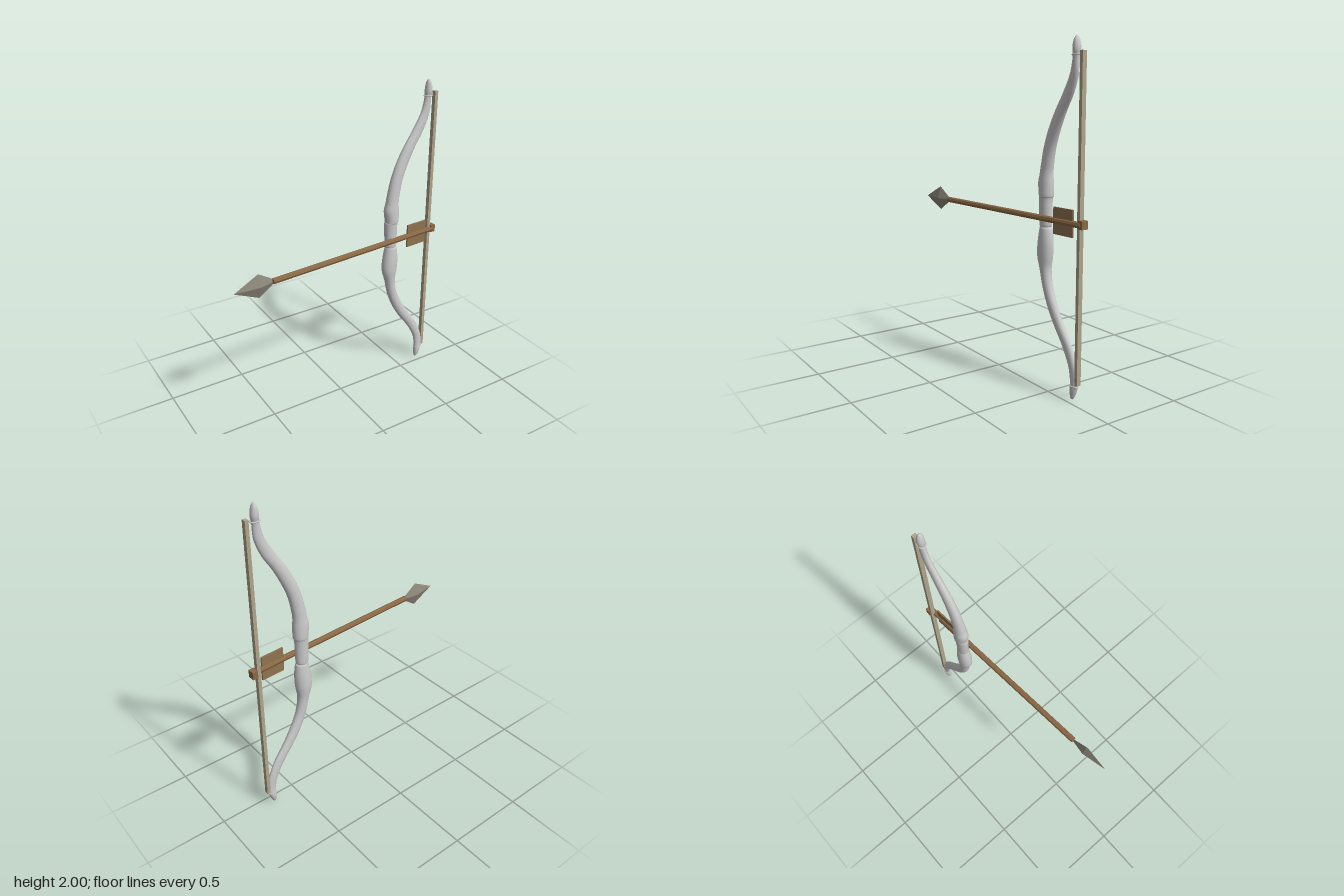
import * as THREE from 'three';

const mat = (color, flatShading = false) => new THREE.MeshStandardMaterial({ color, flatShading });

function add(parent, name, geometry, material, x = 0, y = 0, z = 0) {
  const mesh = new THREE.Mesh(geometry, material);
  mesh.name = name;
  mesh.position.set(x, y, z);
  parent.add(mesh);
  return mesh;
}

// Bow sections from bottom to top: height, left edge, right edge, half depth
const SECTIONS = [
  [0, 0.658, 0.662, 0.002], [0.012, 0.65, 0.674, 0.012], [0.05, 0.647, 0.69, 0.021],
  [0.09, 0.647, 0.702, 0.02], [0.13, 0.643, 0.702, 0.018], [0.2, 0.625, 0.688, 0.019],
  [0.3, 0.567, 0.644, 0.02], [0.4, 0.493, 0.574, 0.023], [0.5, 0.435, 0.512, 0.026],
  [0.6, 0.396, 0.465, 0.029], [0.7, 0.373, 0.445, 0.034], [0.78, 0.35, 0.455, 0.042],
  [0.86, 0.353, 0.459, 0.042], [0.935, 0.366, 0.45, 0.036], [0.95, 0.37, 0.441, 0.032],
  [0.965, 0.366, 0.446, 0.034], [1.05, 0.361, 0.447, 0.036], [1.115, 0.36, 0.448, 0.038],
  [1.13, 0.363, 0.455, 0.042], [1.2, 0.353, 0.455, 0.041], [1.25, 0.364, 0.452, 0.037],
  [1.3, 0.372, 0.457, 0.034], [1.4, 0.394, 0.477, 0.031], [1.5, 0.43, 0.516, 0.028],
  [1.6, 0.482, 0.566, 0.025], [1.7, 0.547, 0.627, 0.021], [1.8, 0.603, 0.664, 0.019],
  [1.89, 0.626, 0.668, 0.019], [1.93, 0.626, 0.673, 0.024], [1.97, 0.632, 0.667, 0.02],
  [1.993, 0.64, 0.658, 0.01], [2, 0.648, 0.651, 0.002],
];

// Skin of elliptical rings through smoothed sections
function bowGeometry(rings, sides) {
  const curve = (f) => new THREE.CatmullRomCurve3(SECTIONS.map(f), false, 'catmullrom', 0.5);
  const outline = curve((s) => new THREE.Vector3(s[0], s[1], s[2]));
  const depth = curve((s) => new THREE.Vector3(s[3], 0, 0));
  const pos = [], index = [];
  for (let i = 0; i <= rings; i++) {
    const { x: y, y: l, z: r } = outline.getPoint(i / rings);
    const d = depth.getPoint(i / rings).x;
    for (let j = 0; j < sides; j++) {
      const a = (j / sides) * Math.PI * 2;
      pos.push((l + r) / 2 + Math.cos(a) * (r - l) / 2, y, Math.sin(a) * d);
      if (i === rings) continue;
      const p = i * sides + j, q = i * sides + (j + 1) % sides;
      index.push(p, p + sides, q, q, p + sides, q + sides);
    }
  }
  // Close both tips
  for (let j = 1; j < sides - 1; j++) {
    const t = rings * sides;
    index.push(0, j, j + 1, t, t + j + 1, t + j);
  }
  const g = new THREE.BufferGeometry();
  g.setAttribute('position', new THREE.Float32BufferAttribute(pos, 3));
  g.setIndex(index);
  g.computeVertexNormals();
  return g;
}

export function createModel() {
  const model = new THREE.Group();
  model.name = 'bowAndArrow';
  const grey = mat(0xcccccc);
  const wood = mat(0x8a6844, true);
  const feather = mat(0x8f7350, true);
  const metal = mat(0x8c877a, true);
  const cord = mat(0xb0a58c, true);

  // Bow with its string and the loops that hold it
  const bow = new THREE.Group();
  bow.name = 'bow';
  bow.position.z = -0.045;
  model.add(bow);
  add(bow, 'bowBody', bowGeometry(155, 20), grey);
  add(bow, 'string', new THREE.BoxGeometry(0.022, 1.825, 0.028), cord, 0.703, 1.008, 0);
  for (const [name, x, y] of [['upperLoop', 0.65, 1.9], ['lowerLoop', 0.676, 0.085]]) {
    const loop = add(bow, name, new THREE.TorusGeometry(0.021, 0.004, 6, 20), grey, x, y, 0);
    loop.rotation.x = Math.PI / 2;
    loop.scale.x = 1.25;
  }

  // Arrow lies along its local x, turned slightly so the head comes forward
  const arrow = new THREE.Group();
  arrow.name = 'arrow';
  arrow.position.set(0, 1.005, 0.024);
  arrow.rotation.y = Math.atan(0.075);
  model.add(arrow);
  const shaft = add(arrow, 'shaft', new THREE.CylinderGeometry(0.018, 0.018, 1.23, 8), wood, 0.117);
  shaft.rotation.z = Math.PI / 2;
  add(arrow, 'fletching', new THREE.BoxGeometry(0.152, 0.153, 0.01), feather, 0.592);

  // Four-sided arrowhead, flattened across its thickness
  const headProfile = [[0, 0], [0.02, 0], [0.077, 0.09], [0, 0.25]].map((p) => new THREE.Vector2(...p));
  const head = add(arrow, 'arrowHead', new THREE.LatheGeometry(headProfile, 4), metal, -0.502);
  head.rotation.z = Math.PI / 2;
  head.scale.z = 0.32;

  add(model, 'nock', new THREE.BoxGeometry(0.034, 0.047, 0.044), wood, 0.729, 1.007, -0.04);
  return model;
}
